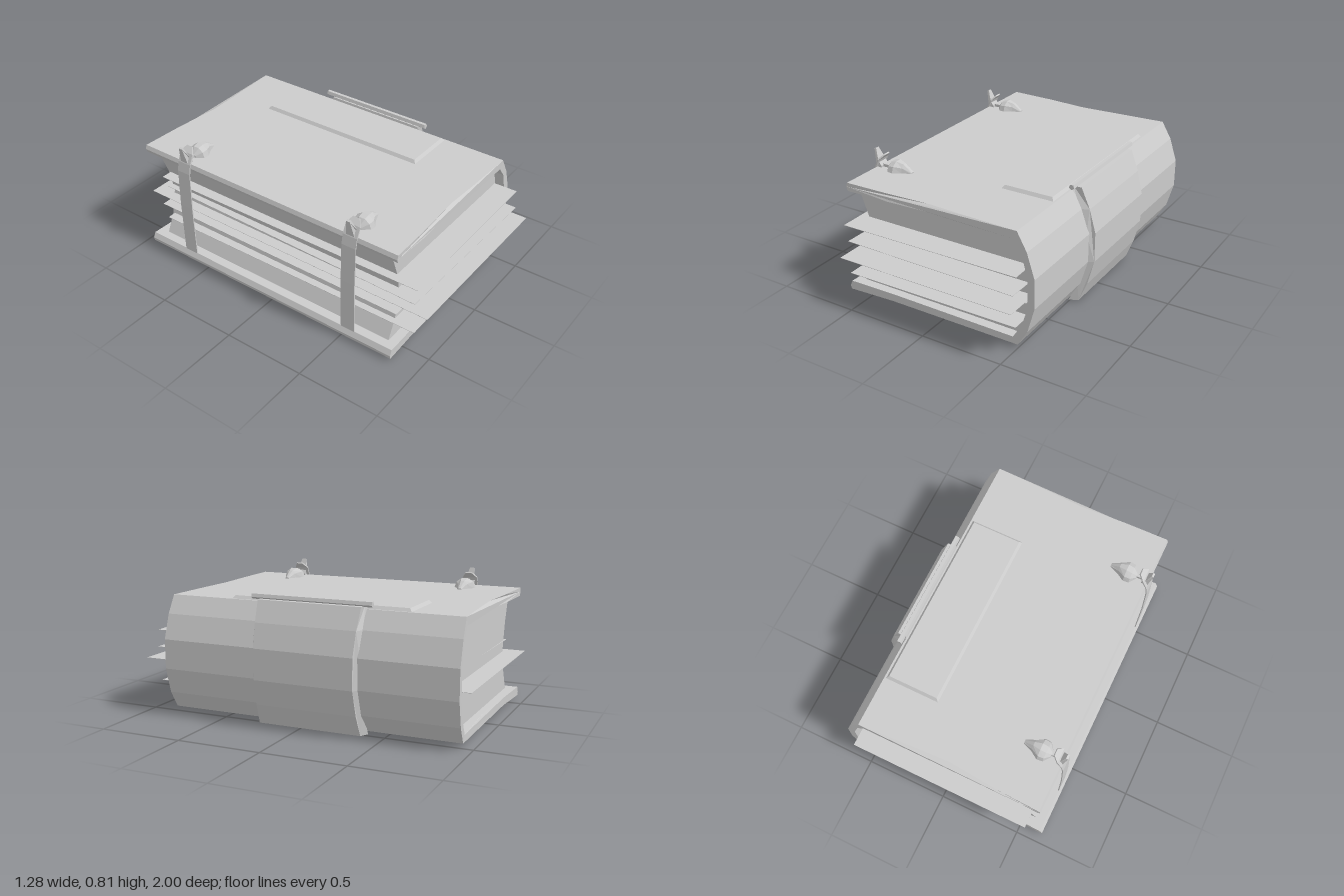
import * as THREE from 'three';

const material = new THREE.MeshStandardMaterial({ color: 0xcccccc, flatShading: true, side: THREE.DoubleSide });

function add(parent, name, geometry) {
  const mesh = new THREE.Mesh(geometry, material);
  mesh.name = name;
  parent.add(mesh);
  return mesh;
}

// Move every vertex by a rule
function warp(geometry, rule) {
  const p = geometry.attributes.position;
  const v = new THREE.Vector3();
  for (let i = 0; i < p.count; i++) {
    v.fromBufferAttribute(p, i);
    rule(v);
    p.setXYZ(i, v.x, v.y, v.z);
  }
  geometry.computeVertexNormals();
  return geometry;
}

// Extrude an x-y outline along z; ends(x, y) gives [back, front]
function prism(points, ends) {
  const shape = new THREE.Shape(points.map(([x, y]) => new THREE.Vector2(x, y)));
  const geometry = new THREE.ExtrudeGeometry(shape, { depth: 1, bevelEnabled: false });
  return warp(geometry, (v) => {
    const [back, front] = ends(v.x, v.y);
    v.z = v.z > 0.5 ? front : back;
  });
}

// Linear lookup in a short table of [x, value]
function lookup(table, x) {
  if (x <= table[0][0]) return table[0][1];
  for (let i = 1; i < table.length; i++) {
    const [x0, a] = table[i - 1], [x1, b] = table[i];
    if (x <= x1) return a + (b - a) * (x - x0) / (x1 - x0);
  }
  return table[table.length - 1][1];
}

// Loft half-round sections along x: [x, half width, height]
function domeLoft(sections, y0, sides) {
  const positions = [], index = [], n = sides + 1;
  for (const [x, w, h] of sections)
    for (let j = 0; j < n; j++) {
      const a = Math.PI * j / sides;
      positions.push(x, y0 + h * Math.sin(a), w * Math.cos(a));
    }
  for (let i = 0; i < sections.length - 1; i++)
    for (let j = 0; j < n; j++) {
      const a = i * n + j, b = i * n + (j + 1) % n;
      index.push(a, a + n, b, b, a + n, b + n);
    }
  const last = (sections.length - 1) * n;
  for (let j = 1; j < n - 1; j++) index.push(0, j, j + 1, last, last + j + 1, last + j);
  const g = new THREE.BufferGeometry();
  g.setAttribute('position', new THREE.Float32BufferAttribute(positions, 3));
  g.setIndex(index);
  g.computeVertexNormals();
  return g;
}

export function createModel() {
  const book = new THREE.Group();
  book.name = 'book';

  // Cover: two boards and a faceted spine, with worn, wavy ends
  const waveX = [-0.33, -0.05, 0.2];
  const spineInside = [[0.475, 0.07], [0.53, 0.16], [0.565, 0.27], [0.565, 0.45], [0.525, 0.59], [0.475, 0.655]];
  const spineOutside = [[0.5, 0.705], [0.56, 0.6], [0.607, 0.455], [0.607, 0.28], [0.565, 0.13], [0.505, 0.03]];
  const cover = [
    [-0.6, 0.655], [-0.612, 0.68], [-0.603, 0.705],
    ...waveX.map((x) => [x, 0.705]), ...spineOutside,
    ...waveX.slice().reverse().map((x) => [x, 0.025]),
    [-0.635, 0.017], [-0.641, 0.04], [-0.625, 0.072],
    ...waveX.map((x) => [x, 0.072]), ...spineInside,
    ...waveX.slice().reverse().map((x) => [x, 0.655]),
  ];
  const frontEdge = [[-0.6, 0.838], [-0.33, 0.832], [-0.05, 0.818], [0.2, 0.83], [0.6, 0.84]];
  const backEdge = [[-0.6, -0.945], [-0.33, -0.935], [-0.05, -0.912], [0.2, -0.925], [0.6, -0.95]];
  add(book, 'cover', prism(cover, (x) => [lookup(backEdge, x), lookup(frontEdge, x)]));

  // Page block with hollow fore-edge
  const pages = [
    ...spineInside, [-0.57, 0.655], [-0.512, 0.5], [-0.48, 0.345], [-0.515, 0.185], [-0.57, 0.072],
  ];
  add(book, 'pageBlock', prism(pages, () => [-0.88, 0.78]));

  // Loose sheets sticking out: [y, left x, right x, back z, front z, turn]
  const sheets = [
    [0.495, -0.57, 0.54, -0.87, 0.93, 0.01],
    [0.39, -0.54, 0.55, -0.88, 0.93, -0.015],
    [0.323, -0.55, 0.565, -1, 1, 0],
    [0.295, -0.585, 0.55, -0.88, 0.83, 0],
    [0.19, -0.56, 0.53, -0.87, 0.92, 0.01],
  ];
  for (const [y, x0, x1, z0, z1, turn] of sheets) {
    const sheet = add(book, 'looseSheet', new THREE.BoxGeometry(x1 - x0, 0.002, z1 - z0));
    sheet.position.set((x0 + x1) / 2, y, (z0 + z1) / 2);
    sheet.rotation.y = turn;
  }

  // Band around the spine, chamfered toward its outer face
  const bandInside = [[0.5, 0.01], [0.55, 0.13], [0.595, 0.28], [0.595, 0.455], [0.55, 0.6], [0.495, 0.7]];
  const bandOutside = [[0.5, 0.722], [0.55, 0.722], [0.6, 0.6], [0.637, 0.46], [0.637, 0.28], [0.6, 0.13], [0.552, 0.01]];
  const isOuter = (x, y) => bandOutside.some(([a, b]) => Math.abs(a - x) + Math.abs(b - y) < 1e-4);
  add(book, 'spineBand', prism([...bandInside, ...bandOutside], (x, y) => {
    const half = (isOuter(x, y) ? 0.3 : 0.325) + 0.1 * (y - 0.36) ** 2;
    return [-0.065 - half, -0.065 + half];
  }));

  // Raised panel with sloping rim
  const panel = add(book, 'coverPanel', warp(new THREE.BoxGeometry(0.335, 0.024, 1.1), (v) => {
    if (v.y > 0) {
      v.x *= 0.89;
      v.z *= 0.965;
    }
  }));
  panel.position.set(0.325, 0.711, -0.095);

  // Hinge rod at the edge of the spine
  const rod = add(book, 'hingeRod', new THREE.CylinderGeometry(0.017, 0.017, 0.73, 5));
  rod.rotation.x = Math.PI / 2;
  rod.position.set(0.515, 0.735, -0.065);

  // Clasps: strap, prong, link, stud and foot plate
  const strapPath = [[-0.626, 0.06], [-0.63, 0.4], [-0.624, 0.64], [-0.612, 0.7], [-0.585, 0.76], [-0.555, 0.79]];
  const strapOutline = [...strapPath, ...strapPath.slice().reverse().map(([x, y]) => [x + 0.006, y - 0.006])];
  for (const z of [0.545, -0.63]) {
    const clasp = new THREE.Group();
    clasp.name = 'clasp';
    clasp.position.z = z;
    book.add(clasp);

    add(clasp, 'strap', prism(strapOutline, (x, y) => {
      const half = y > 0.77 ? 0.02 : 0.045;
      return [-half, half];
    }));

    add(clasp, 'prong', prism(
      [[-0.605, 0.68], [-0.63, 0.805], [-0.618, 0.81], [-0.592, 0.745], [-0.572, 0.715], [-0.572, 0.7]],
      (x, y) => (y > 0.78 ? [-0.012, 0.012] : [-0.03, 0.03])));

    const link = add(clasp, 'link', new THREE.BoxGeometry(0.08, 0.02, 0.02));
    link.position.set(-0.55, 0.712, 0);

    add(clasp, 'stud', domeLoft([
      [-0.535, 0.02, 0.02], [-0.505, 0.06, 0.055], [-0.47, 0.064, 0.063],
      [-0.425, 0.035, 0.05], [-0.37, 0.014, 0.01],
    ], 0.703, 5));

    const foot = add(clasp, 'footPlate', new THREE.BoxGeometry(0.16, 0.026, 0.23));
    foot.position.set(-0.45, 0.013, 0);
  }

  return book;
}
